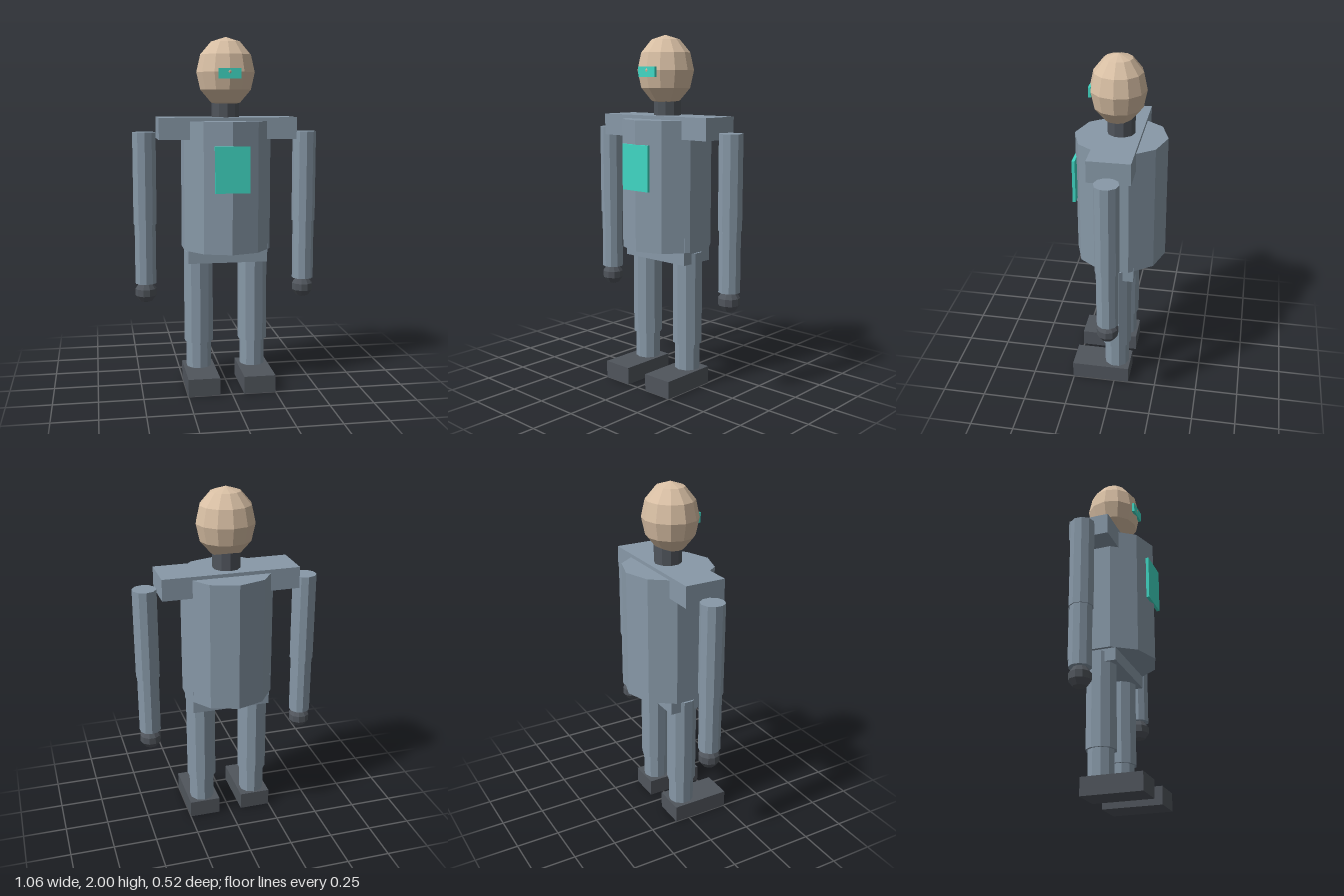
import * as THREE from 'three';

const material = (color) => new THREE.MeshStandardMaterial({ color, flatShading: true });

export function createModel() {
  const model = new THREE.Group();
  const suit = material(0x8899a8);
  const dark = material(0x50555c);
  const skin = material(0xd8bfa4);
  const teal = material(0x40d8c4);
  const Z = -0.004; // depth of the body axis

  const add = (name, geometry, mat, x, y, z) => {
    const mesh = new THREE.Mesh(geometry, mat);
    mesh.name = name;
    mesh.position.set(x, y, z);
    model.add(mesh);
    return mesh;
  };
  // box and ten-sided column placed by their bottom and top heights
  const box = (name, mat, w, d, y0, y1, x, z) =>
    add(name, new THREE.BoxGeometry(w, y1 - y0, d), mat, x, (y0 + y1) / 2, z);
  const column = (name, mat, r, y0, y1, x = 0) =>
    add(name, new THREE.CylinderGeometry(r, r, y1 - y0, 10), mat, x, (y0 + y1) / 2, Z);

  // trunk
  column('torso', suit, 0.259, 0.803, 1.535);
  box('pelvis', suit, 0.455, 0.213, 0.73, 0.925, 0, Z);
  box('shoulders', suit, 0.778, 0.235, 1.433, 1.555, 0, -0.001);
  box('chestPanel', teal, 0.194, 0.017, 1.147, 1.402, 0, 0.25);

  // head
  column('neck', dark, 0.078, 1.5, 1.66);
  const head = add('head', new THREE.SphereGeometry(1, 12, 6), skin, 0, 1.805, 0.011);
  head.scale.set(0.167, 0.195, 0.156);
  box('visor', teal, 0.126, 0.015, 1.767, 1.824, 0, 0.157);

  // limbs, mirrored
  for (const [side, s] of [['left', 1], ['right', -1]]) {
    const armX = s * 0.464;
    column(side + 'UpperArm', suit, 0.068, 0.95, 1.472, armX);
    column(side + 'Forearm', suit, 0.062, 0.606, 0.955, armX);
    add(side + 'Hand', new THREE.SphereGeometry(0.064, 10, 5), dark, armX, 0.554, Z);

    const legX = s * 0.159;
    column(side + 'Thigh', suit, 0.085, 0.254, 0.79, legX);
    column(side + 'Shin', suit, 0.073, 0.09, 0.26, legX);
    box(side + 'Foot', dark, 0.18, 0.342, 0, 0.1, legX, 0.084);
  }
  return model;
}
